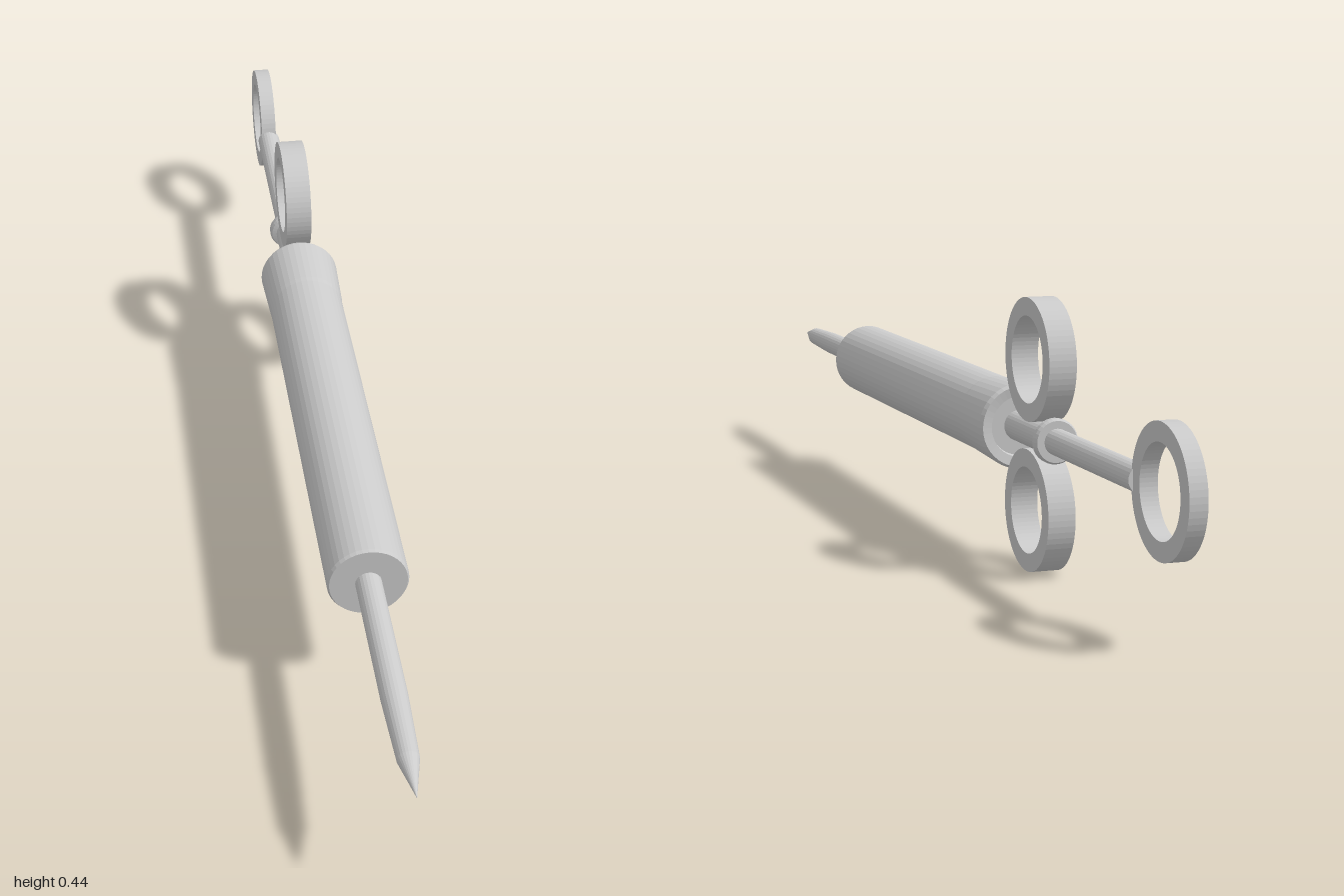
import * as THREE from 'three';

const AXIS_Y = 0.218;

export function createModel() {
  const model = new THREE.Group();
  const material = new THREE.MeshStandardMaterial({ color: 0xcccccc, flatShading: true });

  const add = (name, geometry, y, z) => {
    const mesh = new THREE.Mesh(geometry, material);
    mesh.name = name;
    mesh.position.set(0, y, z);
    model.add(mesh);
  };

  // Turned part along z; profile is [radius, z] from back to front
  const turned = (name, profile, sides) => {
    const points = profile.map(([r, z]) => new THREE.Vector2(r, z));
    add(name, new THREE.LatheGeometry(points, sides).rotateX(Math.PI / 2), AXIS_Y, 0);
  };

  // Flat-sided finger ring whose hole runs along x
  const ring = (name, y, z, outer, inner, width) => {
    const shape = new THREE.Shape().absarc(0, 0, outer, 0, Math.PI * 2);
    shape.holes.push(new THREE.Path().absarc(0, 0, inner, 0, Math.PI * 2, true));
    const geometry = new THREE.ExtrudeGeometry(shape, { depth: width, bevelEnabled: false, curveSegments: 32 });
    geometry.translate(0, 0, -width / 2).rotateY(Math.PI / 2);
    add(name, geometry, y, z);
  };

  // Barrel, slightly flared at the back with a shallow recess
  turned('barrel', [
    [0, -0.312], [0.048, -0.312], [0.05, -0.322], [0.066, -0.325], [0.07, -0.317],
    [0.066, -0.21], [0.065, -0.2], [0.065, 0.542], [0.062, 0.547], [0, 0.547],
  ], 40);

  // Needle with a pointed tip
  turned('needle', [
    [0, 0.53], [0.021, 0.53], [0.021, 0.8], [0.017, 0.925], [0, 1],
  ], 24);

  // Plunger rod reaching from the barrel to the thumb ring
  turned('plungerRod', [
    [0, -0.81], [0.021, -0.81], [0.021, -0.48], [0.021, -0.3], [0, -0.3],
  ], 24);

  // Neck and collar that guide the rod
  turned('collar', [
    [0.02, -0.482], [0.033, -0.482], [0.036, -0.477], [0.036, -0.468], [0.033, -0.463],
    [0.025, -0.461], [0.025, -0.31],
  ], 32);

  // Finger rings above and below the neck
  for (const side of [1, -1]) {
    ring(side > 0 ? 'upperFingerRing' : 'lowerFingerRing', AXIS_Y + side * 0.12, -0.407, 0.098, 0.069, 0.045);
  }

  // Thumb ring at the end of the rod
  ring('thumbRing', AXIS_Y, -0.902, 0.098, 0.069, 0.028);

  return model;
}
